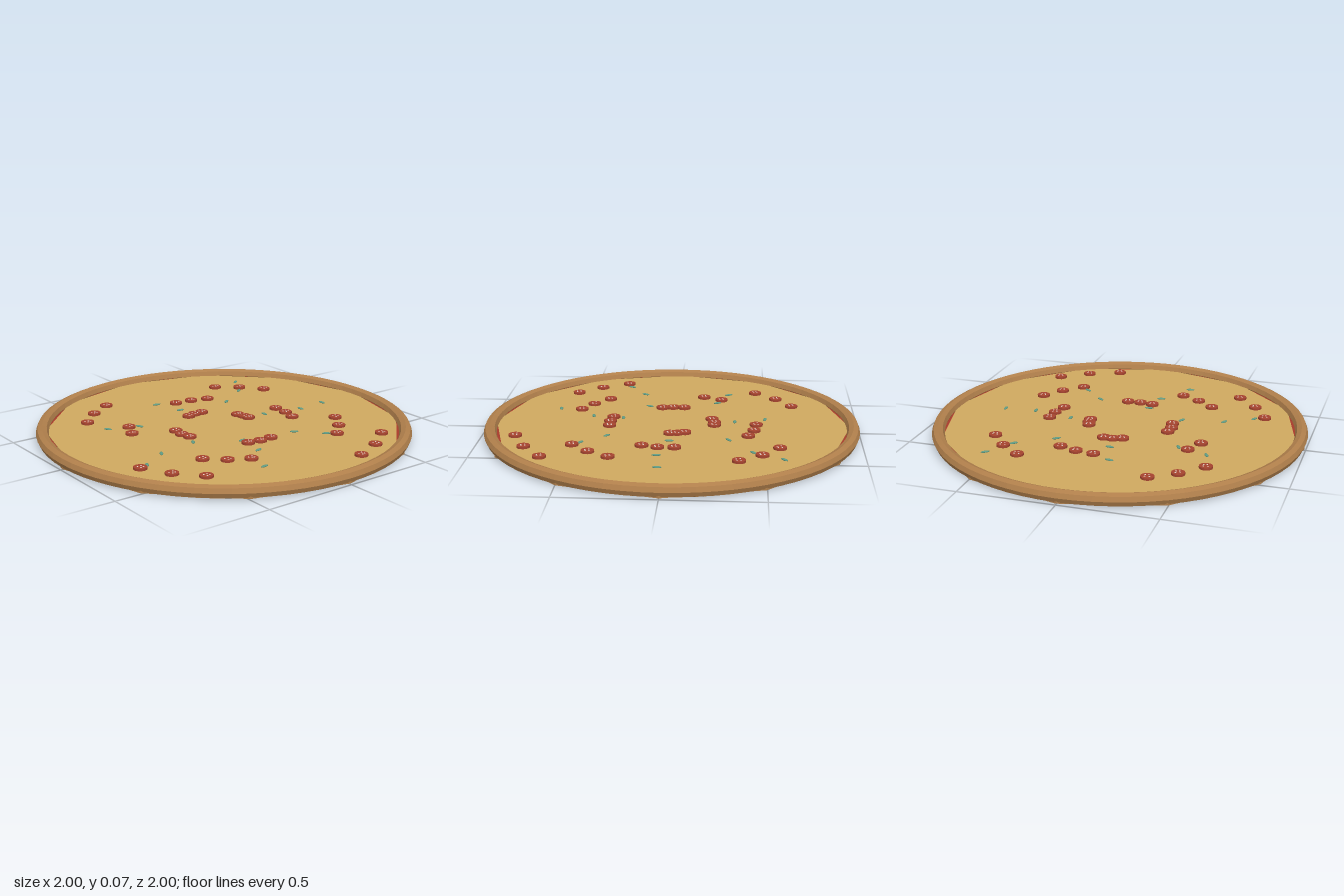
import * as THREE from 'three';

const mat = (name, color, flatShading = false) => {
  const m = new THREE.MeshStandardMaterial({ color, flatShading });
  m.name = name;
  return m;
};

// Topping positions: [x, z]
const SLICES = [
  [-0.34, -0.65], [-0.47, -0.565], [-0.58, -0.45], [0, -0.452], [0.097, -0.44], [0.19, -0.41],
  [0.364, -0.57], [0.477, -0.48], [0.568, -0.364], [-0.44, -0.257], [-0.485, -0.157], [-0.08, -0.214],
  [-0.03, -0.228], [0.017, -0.228], [-0.279, -0.052], [-0.284, 0.01], [-0.273, 0.068], [0.151, -0.076],
  [0.162, -0.038], [0.167, 0], [0.39, -0.036], [0.389, 0.05], [0.367, 0.132], [0.546, 0.284],
  [0.471, 0.395], [0.374, 0.488], [0.565, 0.623], [0.418, 0.729], [0.25, 0.802], [-0.73, 0.298],
  [-0.649, 0.448], [-0.537, 0.574], [-0.418, 0.377], [-0.324, 0.458], [-0.22, 0.515], [-0.089, 0.323],
  [-0.017, 0.333], [0.055, 0.33],
];
// Leaf positions and heading: [x, z, angle]
const LEAVES = [
  [-0.1, -0.5, -0.2], [-0.05, -0.337, -0.1], [0.53, -0.587, 0.7], [0.437, -0.435, 0.7],
  [0.25, -0.308, 0.6], [-0.546, -0.297, -1.1], [-0.386, -0.236, -1.1], [0.28, -0.003, 1.57],
  [0.502, 0.047, -1.5], [0.674, 0.031, 1.57], [-0.677, 0.276, 1.1], [-0.531, 0.185, 1.1],
  [-0.306, 0.142, 1.05], [-0.086, 0.27, 0.15], [0.217, 0.327, -0.6], [-0.111, 0.435, 0.2],
  [0.333, 0.45, -0.6], [-0.232, 0.633, 0.1],
];

export function createModel() {
  const pizza = new THREE.Group();
  pizza.name = 'pizza';
  const crustMat = mat('baked crust', 0xb07f4b, true);
  const sauceMat = mat('tomato sauce', 0xa83a2a);
  const cheeseMat = mat('melted cheese', 0xcfa95f, true);
  const meatMat = mat('cured sausage', 0xa5432f);
  const fatMat = mat('pale fat', 0xf0dcd0);
  const leafMat = mat('herb green', 0x5f9a82);

  const add = (parent, name, geometry, material, x = 0, y = 0, z = 0) => {
    const mesh = new THREE.Mesh(geometry, material);
    mesh.name = name;
    mesh.position.set(x, y, z);
    parent.add(mesh);
    return mesh;
  };
  // Upright disc between two heights
  const disc = (radius, y0, y1, sides) =>
    new THREE.CylinderGeometry(radius, radius, y1 - y0, sides).translate(0, (y0 + y1) / 2, 0);

  // Crust ring with an eight-sided section
  add(pizza, 'crustRing', new THREE.TorusGeometry(0.966, 0.034, 8, 72).rotateX(Math.PI / 2), crustMat, 0, 0.034);

  // Round underside and the twelve-sided dough whose corners show below the ring
  add(pizza, 'underside', disc(0.968, 0, 0.006, 72), crustMat);
  add(pizza, 'dough', disc(0.993, 0.004, 0.025, 12), crustMat);

  // Sauce shows in thin slivers beside the straight cheese edges
  add(pizza, 'sauce', disc(0.95, 0.02, 0.03, 72), sauceMat);
  add(pizza, 'cheese', disc(0.95, 0.024, 0.034, 12), cheeseMat);

  // Sausage slices with fat flecks
  const sliceGeo = disc(0.035, 0, 0.012, 14);
  const fleckGeo = disc(0.0048, 0.0115, 0.013, 6);
  const flecks = [[-0.012, -0.006], [0.011, -0.01], [0.013, 0.009], [-0.004, 0.013]];
  SLICES.forEach(([x, z], i) => {
    const slice = new THREE.Group();
    slice.name = 'sausageSlice';
    // Tiny height steps keep overlapping slices apart
    slice.position.set(x, 0.033 + (i % 3) * 0.0008, z);
    add(slice, 'sliceBody', sliceGeo, meatMat);
    for (const [fx, fz] of flecks) add(slice, 'fatFleck', fleckGeo, fatMat, fx, 0, fz);
    pizza.add(slice);
  });

  // Small herb leaves
  const leafGeo = new THREE.SphereGeometry(1, 10, 6).scale(0.024, 0.005, 0.0095);
  for (const [x, z, angle] of LEAVES) {
    add(pizza, 'herbLeaf', leafGeo, leafMat, x, 0.037, z).rotation.y = angle;
  }
  return pizza;
}
